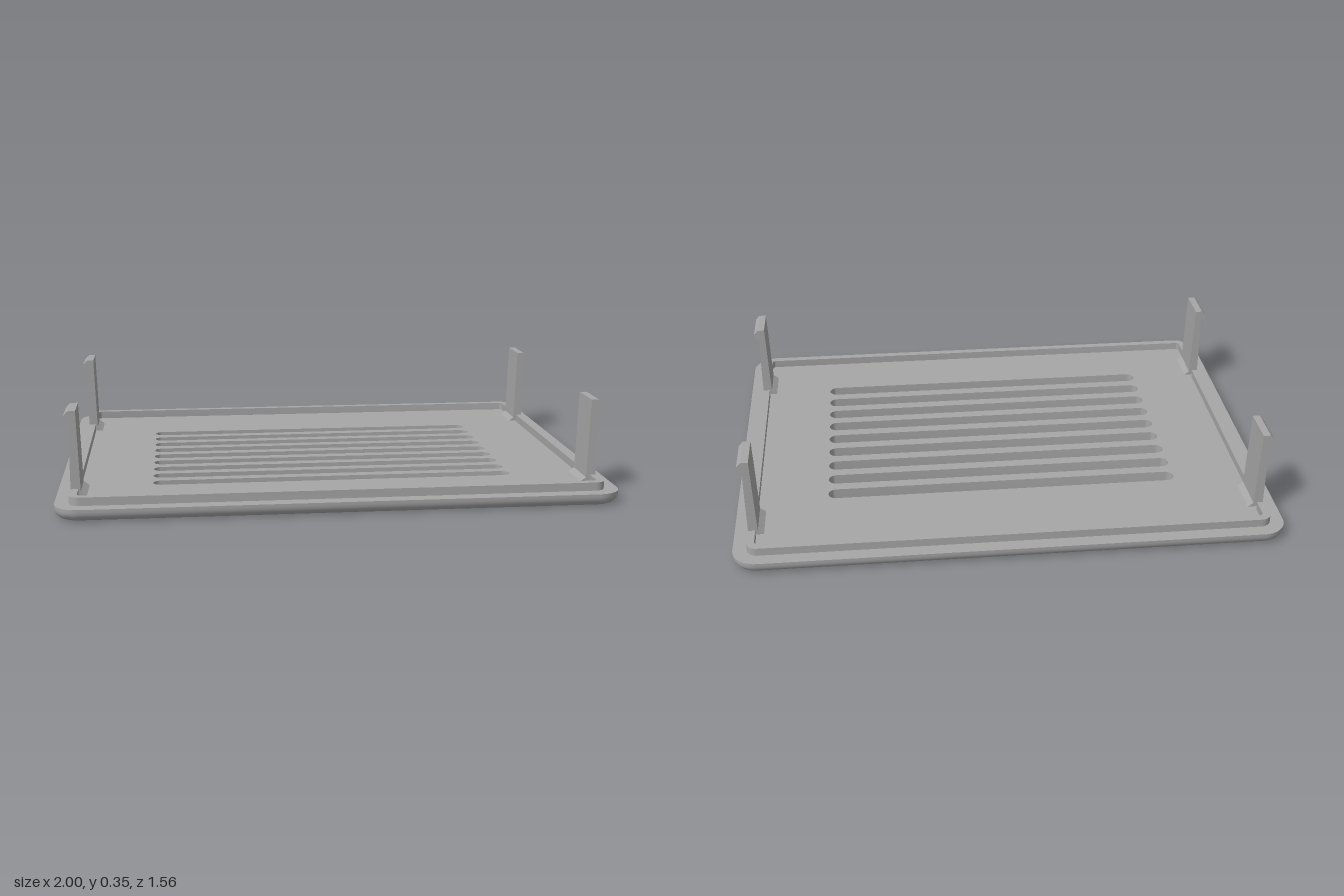
import * as THREE from 'three';
import { toCreasedNormals } from 'three/addons/utils/BufferGeometryUtils.js';

const plateTop = 0.045, edgeRadius = 0.035;

// Rounded rectangle as [x, z] points
function outline(halfX, halfZ, r, n, cz = 0) {
  const pts = [];
  [[1, 1], [-1, 1], [-1, -1], [1, -1]].forEach(([sx, sz], q) => {
    for (let i = 0; i <= n; i++) {
      const a = (q + i / n) * Math.PI / 2;
      pts.push([sx * (halfX - r) + r * Math.cos(a), cz + sz * (halfZ - r) + r * Math.sin(a)]);
    }
  });
  return pts;
}

// Closed wall through rings of { pts, y }; rising rings face out, falling rings face in
function wall(rings) {
  const n = rings[0].pts.length, pos = [], index = [];
  rings.forEach(({ pts, y }) => pts.forEach(([x, z]) => pos.push(x, y, z)));
  for (let k = 0; k < rings.length - 1; k++) {
    for (let i = 0; i < n; i++) {
      const a = k * n + i, b = k * n + (i + 1) % n;
      index.push(a, a + n, b + n, a, b + n, b);
    }
  }
  const g = new THREE.BufferGeometry();
  g.setAttribute('position', new THREE.Float32BufferAttribute(pos, 3));
  g.setIndex(index);
  return toCreasedNormals(g, 0.6);
}

// Flat horizontal face with holes, facing up (dir 1) or down (dir -1)
function face(pts, holes, y, dir) {
  const to2D = (list) => list.map(([x, z]) => new THREE.Vector2(x, -dir * z));
  const shape = new THREE.Shape(to2D(pts));
  holes.forEach((h) => shape.holes.push(new THREE.Path(to2D(h))));
  return new THREE.ShapeGeometry(shape).rotateX(-dir * Math.PI / 2).translate(0, y, 0);
}

export function createModel() {
  const model = new THREE.Group();
  const grey = new THREE.MeshStandardMaterial({ color: 0xa6a6a6 });
  grey.name = 'grey plastic';
  const add = (name, geometry, parent = model) => {
    const mesh = new THREE.Mesh(geometry, grey);
    mesh.name = name;
    parent.add(mesh);
    return mesh;
  };

  // Slotted plate with a rounded lower edge
  const plate = new THREE.Group();
  plate.name = 'plate';
  model.add(plate);
  const slots = [];
  for (let i = 0; i < 9; i++) slots.push(outline(0.664, 0.03, 0.03, 8, 0.045 + (i - 4) * 0.101));
  const rings = [];
  for (let i = 0; i <= 6; i++) {
    const a = i / 6 * Math.PI / 2, inset = edgeRadius * (1 - Math.sin(a));
    rings.push({ pts: outline(1 - inset, 0.78 - inset, 0.09 - inset, 10), y: edgeRadius * (1 - Math.cos(a)) });
  }
  rings.push({ pts: rings[6].pts, y: plateTop });
  add('plateEdge', wall(rings), plate);
  add('plateInside', face(rings[6].pts, slots, plateTop, 1), plate);
  add('plateOutside', face(rings[0].pts, slots, 0, -1), plate);
  slots.forEach((pts) => add('slotWall', wall([{ pts, y: plateTop }, { pts, y: 0 }]), plate));

  // Raised rim: a C-shaped rail at each end, a straight rail on each side
  const ox = 0.949, oz = 0.73, t = 0.028, end = 0.617, r = 0.04, ri = 0.015;
  const ix = ox - t, iz = oz - t;
  const rail = new THREE.Shape();
  rail.moveTo(ox, end);
  rail.lineTo(ox, oz - r);
  rail.absarc(ox - r, oz - r, r, 0, Math.PI / 2, false);
  rail.absarc(r - ox, oz - r, r, Math.PI / 2, Math.PI, false);
  rail.lineTo(-ox, end);
  rail.lineTo(-ix, end);
  rail.absarc(ri - ix, iz - ri, ri, Math.PI, Math.PI / 2, true);
  rail.absarc(ix - ri, iz - ri, ri, Math.PI / 2, 0, true);
  rail.lineTo(ix, end);
  const railGeometry = toCreasedNormals(
    new THREE.ExtrudeGeometry(rail, { depth: 0.03, bevelEnabled: false, curveSegments: 6 }).rotateX(-Math.PI / 2), 0.6);
  for (const [name, turn] of [['backRail', 0], ['frontRail', Math.PI]]) {
    const mesh = add(name, railGeometry);
    mesh.position.y = plateTop;
    mesh.rotation.y = turn;
  }
  for (const s of [1, -1]) {
    const mesh = add(s > 0 ? 'leftRail' : 'rightRail', new THREE.BoxGeometry(t, 0.03, 0.866));
    mesh.position.set(s * (ox - t / 2), plateTop + 0.015, 0);
  }

  // Four snap clips with outward hooks and a flared foot
  const profile = new THREE.Shape([
    [0.893, 0.045], [0.949, 0.045], [0.949, 0.307], [0.966, 0.307], [0.966, 0.333],
    [0.95, 0.35], [0.923, 0.35], [0.914, 0.06],
  ].map(([x, y]) => new THREE.Vector2(x, y)));
  const clip = new THREE.ExtrudeGeometry(profile, { depth: 0.147, bevelEnabled: false }).translate(0, 0, -0.0735);
  for (const s of [1, -1]) {
    for (const z of [0.525, -0.525]) {
      const mesh = add((z > 0 ? 'front' : 'back') + (s > 0 ? 'Left' : 'Right') + 'Clip', clip);
      mesh.position.z = z;
      mesh.rotation.y = s > 0 ? 0 : Math.PI;
    }
  }
  return model;
}
